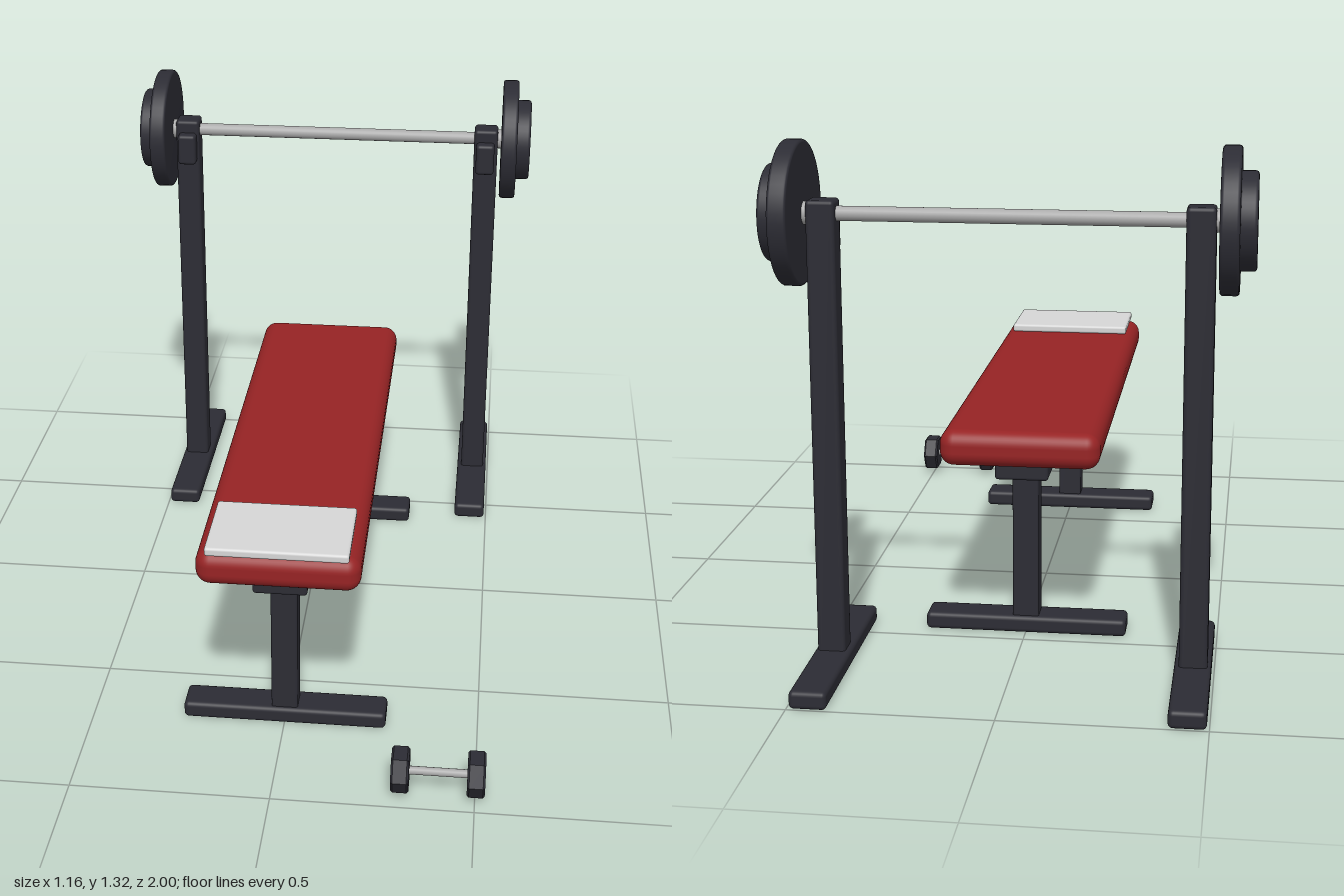
import * as THREE from 'three';
import { RoundedBoxGeometry } from 'three/addons/geometries/RoundedBoxGeometry.js';

export function createModel() {
  const model = new THREE.Group();
  model.name = 'weightBench';

  const mat = (name, color) => {
    const m = new THREE.MeshStandardMaterial({ color });
    m.name = name;
    return m;
  };
  const darkSteel = mat('darkSteel', 0x2c2c34);
  const chrome = mat('chrome', 0xaaaaaa);
  const redVinyl = mat('redVinyl', 0x962324);
  const towelCloth = mat('towelCloth', 0xd6d6d6);

  const add = (name, geometry, material, x, y, z) => {
    const mesh = new THREE.Mesh(geometry, material);
    mesh.name = name;
    mesh.position.set(x, y, z);
    model.add(mesh);
    return mesh;
  };

  // Rounded box given by its limits along each axis
  const box = (name, material, [x0, x1], [y0, y1], [z0, z1], radius, segments = 3) =>
    add(name, new RoundedBoxGeometry(x1 - x0, y1 - y0, z1 - z0, segments, radius), material,
      (x0 + x1) / 2, (y0 + y1) / 2, (z0 + z1) / 2);

  // Cylinder lying along x
  const rod = (name, material, radius, length, x, y, z, sides = 24) => {
    const geometry = new THREE.CylinderGeometry(radius, radius, length, sides);
    geometry.rotateZ(Math.PI / 2);
    return add(name, geometry, material, x, y, z);
  };

  // Weight plate along x with softened rims
  const plate = (name, radius, x0, x1, y, z) => {
    const h = (x1 - x0) / 2, b = 0.008, profile = [new THREE.Vector2(0, -h)];
    for (const [side, start] of [[-1, -Math.PI / 2], [1, 0]]) {
      for (let i = 0; i <= 4; i++) {
        const a = start + (i / 4) * Math.PI / 2;
        profile.push(new THREE.Vector2(radius - b + b * Math.cos(a), side * (h - b) + b * Math.sin(a)));
      }
    }
    profile.push(new THREE.Vector2(0, h));
    const geometry = new THREE.LatheGeometry(profile, 48);
    geometry.rotateZ(Math.PI / 2);
    add(name, geometry, darkSteel, (x0 + x1) / 2, y, z);
  };

  // Bench: pad, towel, spine and two T-shaped legs
  box('benchPad', redVinyl, [-0.203, 0.203], [0.485, 0.578], [-0.585, 0.822], 0.037, 5);
  box('towel', towelCloth, [-0.176, 0.176], [0.577, 0.6], [0.59, 0.826], 0.007);
  box('benchSpine', darkSteel, [-0.068, 0.068], [0.44, 0.487], [-0.525, 0.765], 0.008);
  for (const [end, z] of [['front', 0.65], ['rear', -0.412]]) {
    box(end + 'Leg', darkSteel, [-0.034, 0.034], [0.03, 0.45], [z - 0.034, z + 0.034], 0.006);
    box(end + 'Foot', darkSteel, [-0.263, 0.263], [0.002, 0.047], [z - 0.045, z + 0.045], 0.012);
  }

  // Rack and plates, mirrored left and right
  const rackZ = -0.707, barY = 1.144;
  for (const [side, s] of [['left', 1], ['right', -1]]) {
    const span = (a, b) => (s > 0 ? [a, b] : [-b, -a]);
    box(side + 'RackFoot', darkSteel, span(0.403, 0.494), [0.002, 0.047], [-1, -0.415], 0.012);
    box(side + 'Upright', darkSteel, span(0.415, 0.485), [0.03, 1.178], [rackZ - 0.035, rackZ + 0.035], 0.01);
    box(side + 'BarHook', darkSteel, span(0.422, 0.476), [1.05, 1.142], [-0.69, -0.64], 0.01);
    rod(side + 'BarCollar', chrome, 0.028, 0.028, s * 0.486, barY, rackZ);
    plate(side + 'LargePlate', 0.175, ...span(0.495, 0.541), barY, rackZ);
    plate(side + 'SmallPlate', 0.117, ...span(0.535, 0.58), barY, rackZ);
  }
  rod('barbellBar', chrome, 0.018, 1.0, 0, barY, rackZ);

  // Hexagonal dumbbell on the floor
  const bellX = 0.409, bellY = 0.073, bellZ = 0.943;
  rod('dumbbellHandle', chrome, 0.0105, 0.231, bellX, bellY, bellZ, 16);
  for (const [side, s] of [['left', 1], ['right', -1]]) {
    rod(side + 'DumbbellHead', darkSteel, 0.057, 0.044, bellX + s * 0.093, bellY, bellZ, 6)
      .geometry = rodHead();
  }

  return model;
}

// Six-sided head with chamfered faces, lying along x
function rodHead() {
  const h = 0.022, r = 0.057;
  const profile = [[0, -h], [r - 0.005, -h], [r, -h + 0.005], [r, h - 0.005], [r - 0.005, h], [0, h]]
    .map(([x, y]) => new THREE.Vector2(x, y));
  const geometry = new THREE.LatheGeometry(profile, 6).toNonIndexed();
  geometry.rotateZ(Math.PI / 2);
  geometry.computeVertexNormals();
  return geometry;
}
